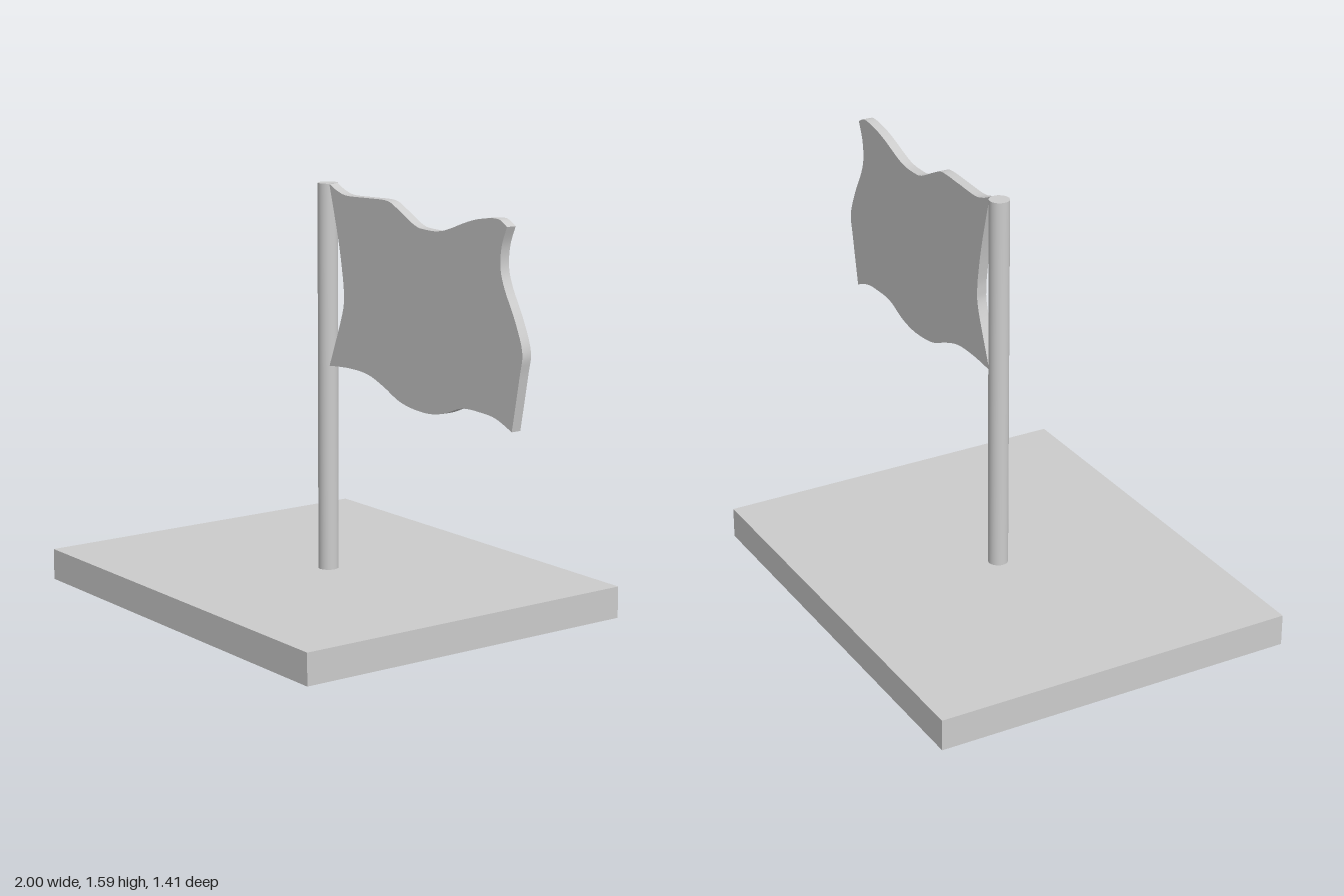
import * as THREE from 'three';
import { toCreasedNormals } from 'three/addons/utils/BufferGeometryUtils.js';

const BASE_HEIGHT = 0.12, POLE_TOP = 1.585, POLE_X = -0.146, POLE_RADIUS = 0.038;
const FLAG_DEPTH = 0.038;

// The four wavy edges of the flag, each running corner to corner, clockwise from the upper hoist
const flagEdges = [
  [[-0.11, 1.585], [-0.06, 1.564], [0, 1.552], [0.125, 1.556], [0.24, 1.558], [0.3, 1.537], [0.4, 1.489],
    [0.46, 1.479], [0.56, 1.485], [0.7, 1.532], [0.783, 1.552], [0.864, 1.559], [0.912, 1.537]],
  [[0.912, 1.537], [0.885, 1.468], [0.88, 1.393], [0.903, 1.324], [0.96, 1.222], [1, 1.12], [0.987, 1.03], [0.95, 0.837]],
  [[0.95, 0.837], [0.864, 0.869], [0.783, 0.877], [0.676, 0.874], [0.57, 0.837], [0.463, 0.823],
    [0.33, 0.837], [0.222, 0.88], [0.125, 0.91], [0.01, 0.915], [-0.11, 0.906]],
  [[-0.11, 0.906], [-0.03, 1.11], [-0.02, 1.19], [-0.03, 1.27], [-0.056, 1.393], [-0.11, 1.585]],
];

export function createModel() {
  const model = new THREE.Group();
  const material = new THREE.MeshStandardMaterial({ color: 0xcccccc });
  const add = (name, geometry, x, y, z) => {
    const mesh = new THREE.Mesh(geometry, material);
    mesh.name = name;
    mesh.position.set(x, y, z);
    model.add(mesh);
  };

  // Flat rectangular base, offset so that the flag overhangs it
  add('base', new THREE.BoxGeometry(1.707, BASE_HEIGHT, 1.408), POLE_X, BASE_HEIGHT / 2, 0);

  // Round pole
  const poleHeight = POLE_TOP - BASE_HEIGHT;
  add('pole', new THREE.CylinderGeometry(POLE_RADIUS, POLE_RADIUS, poleHeight, 48),
    POLE_X, BASE_HEIGHT + poleHeight / 2, 0);

  // Wavy flag, attached to the pole by its two hoist corners
  const outline = flagEdges.flatMap((edge) => {
    const curve = new THREE.SplineCurve(edge.map(([x, y]) => new THREE.Vector2(x, y)));
    return curve.getPoints((edge.length - 1) * 5).slice(0, -1);
  });
  const flag = new THREE.ExtrudeGeometry(new THREE.Shape(outline), { depth: FLAG_DEPTH, bevelEnabled: false });
  add('flag', toCreasedNormals(flag, Math.PI / 6), 0, 0, -FLAG_DEPTH / 2);

  return model;
}
